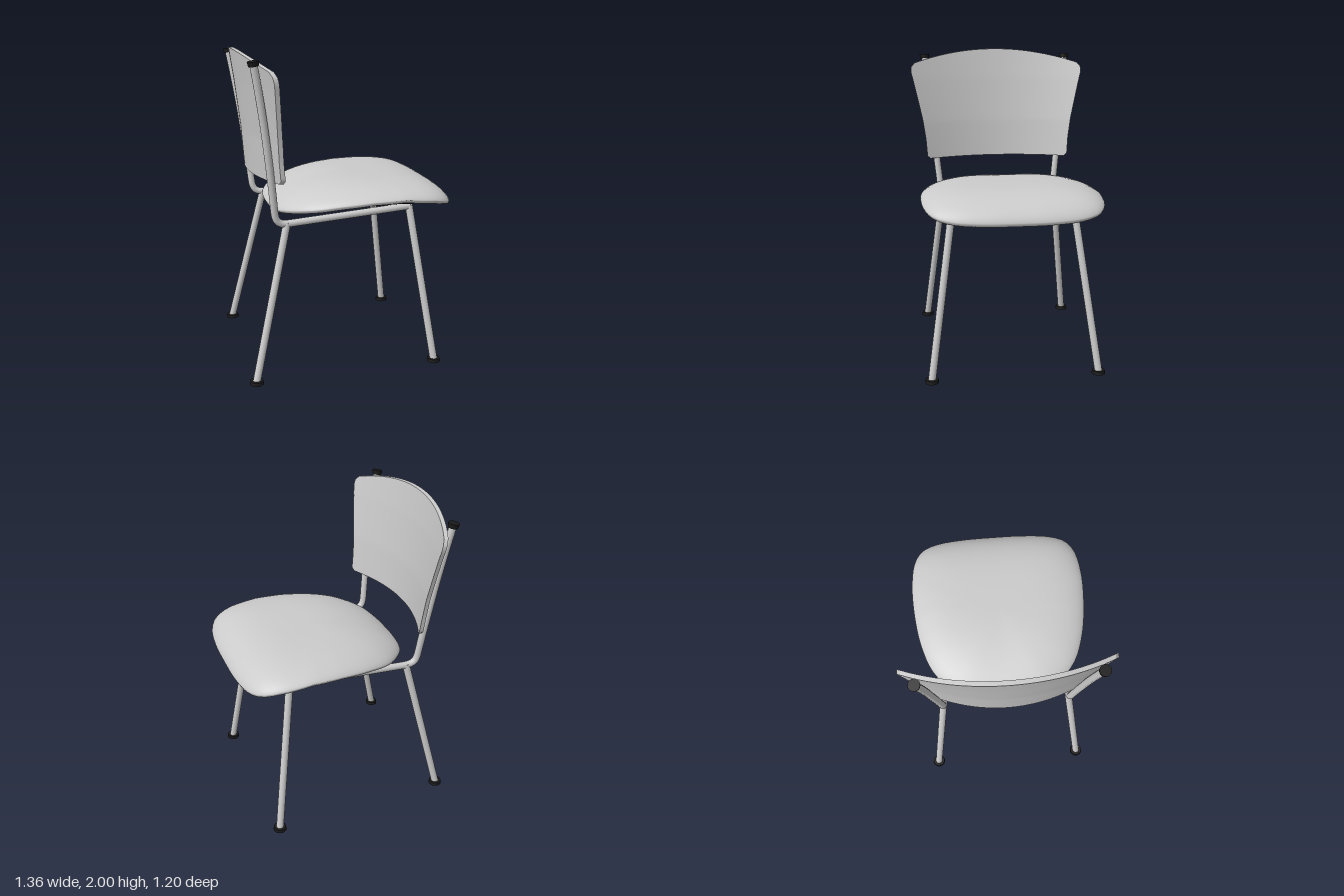
import * as THREE from 'three';

const grey = new THREE.MeshStandardMaterial({ color: 0xcccccc });
const black = new THREE.MeshStandardMaterial({ color: 0x1a1a1a });
const V = (x, y, z) => new THREE.Vector3(x, y, z);
const lerp = THREE.MathUtils.lerp;

// Linear lookup in a short list of [input, output] pairs
function lookup(table, t) {
  let i = 1;
  while (i < table.length - 1 && t > table[i][0]) i++;
  const [a, b] = [table[i - 1], table[i]];
  return lerp(a[1], b[1], THREE.MathUtils.clamp((t - a[0]) / (b[0] - a[0]), 0, 1));
}

function add(parent, name, geometry, material) {
  const mesh = new THREE.Mesh(geometry, material);
  mesh.name = name;
  parent.add(mesh);
  return mesh;
}

// Straight round bar between two points
function bar(parent, name, a, b, r0, r1, material) {
  const mesh = add(parent, name, new THREE.CylinderGeometry(r1, r0, a.distanceTo(b), 20), material);
  mesh.position.copy(a).add(b).multiplyScalar(0.5);
  mesh.quaternion.setFromUnitVectors(V(0, 1, 0), b.clone().sub(a).normalize());
}

// Closed skin through rings of points
function loft(rings) {
  const n = rings[0].length, index = [];
  for (let i = 0; i < rings.length - 1; i++) {
    for (let j = 0; j < n; j++) {
      const a = i * n + j, b = i * n + (j + 1) % n;
      index.push(a, b, a + n, b, b + n, a + n);
    }
  }
  const g = new THREE.BufferGeometry().setFromPoints(rings.flat());
  g.setIndex(index);
  g.computeVertexNormals();
  return g;
}

// Seat: domed cushion and shallow black pan sharing one plan outline
function addSeat(group) {
  const half = [[0.68, 0], [0.675, 0.22], [0.65, 0.39], [0.6, 0.49], [0.5, 0.545], [0.3, 0.568], [0.05, 0.553],
    [-0.1, 0.525], [-0.25, 0.47], [-0.35, 0.39], [-0.43, 0.28], [-0.46, 0.14], [-0.466, 0]];
  const mirrored = half.slice(1, -1).reverse().map(([x, z]) => [x, -z]);
  const outline = new THREE.CatmullRomCurve3([...half, ...mirrored].map(([x, z]) => V(x, 0, z)), true)
    .getSpacedPoints(80).slice(0, 80);
  const rim = [[-0.466, 1.02], [-0.3, 1.055], [-0.1, 1.088], [0.1, 1.108], [0.3, 1.114], [0.5, 1.09], [0.6, 1.065], [0.68, 1.035]];
  const cx = 0.11;
  const ring = (r, height) => outline.map((p) => {
    const x = lerp(cx, p.x, r);
    return V(x, height(r, lookup(rim, p.x), p, x), p.z * r);
  });
  const dome = (r, edge, p) => {
    const back = Math.max(0, (cx - p.x) / Math.hypot(p.x - cx, p.z));
    return lerp(edge, 1.197, Math.pow(Math.max(0, 1 - Math.pow(r, 4 - 2 * back)), 0.65));
  };
  const pan = (r, edge, p, x) => lerp(edge - 0.018, 1.005 + 0.04 * x, 1 - Math.pow(r / 0.95, 3));

  const cushion = [];
  for (let i = 0; i <= 28; i++) cushion.push(ring(Math.sin(i / 28 * Math.PI / 2), dome));
  cushion.push(ring(0.992, (r, edge) => edge - 0.012), ring(0.975, (r, edge) => edge - 0.018),
    ring(0.95, (r, edge) => edge - 0.018));
  add(group, 'seatCushion', loft(cushion), grey);

  const under = [];
  for (let i = 0; i <= 14; i++) under.push(ring(0.95 * (1 - i / 14), pan));
  add(group, 'seatPan', loft(under), black);
}

// Backrest: thin slab, flared upward, wrapped around the sitter and leaning back
function addBackrest(group) {
  const width = [[0, 0.48], [0.03, 0.5], [0.2, 0.508], [0.4, 0.527], [0.6, 0.555], [0.8, 0.583], [0.92, 0.601], [0.97, 0.598], [1, 0.575]];
  const spine = [[1.25, -0.571], [1.5, -0.587], [1.8, -0.62], [2, -0.647]];
  const g = new THREE.BoxGeometry(1, 1, 1, 1, 34, 32);
  const pos = g.attributes.position;
  for (let i = 0; i < pos.count; i++) {
    const v = pos.getY(i) + 0.5;
    const z = pos.getZ(i) * 2 * lookup(width, v);
    const y = lerp(1.245, 2 - 0.28 * z * z, v);
    const bend = lerp(0.5, 0.34, (y - 1.25) / 0.7);
    pos.setXYZ(i, lookup(spine, y) + bend * z * z + pos.getX(i) * 0.028, y, z);
  }
  g.computeVertexNormals();
  add(group, 'backrest', g, grey);
}

// One side of the tube frame, s = +1 or -1 along z
function addFrameSide(group, s) {
  const side = new THREE.Group();
  side.name = s > 0 ? 'rightFrame' : 'leftFrame';
  group.add(side);
  const path = new THREE.CurvePath();
  const upright = new THREE.CatmullRomCurve3([V(-0.605, 1.945, 0.5 * s), V(-0.585, 1.83, 0.49 * s), V(-0.55, 1.6, 0.468 * s),
    V(-0.52, 1.36, 0.445 * s), V(-0.502, 1.2, 0.428 * s), V(-0.487, 1.05, 0.412 * s)]);
  path.add(upright);
  path.add(new THREE.CubicBezierCurve3(V(-0.487, 1.05, 0.412 * s), V(-0.48, 0.995, 0.407 * s),
    V(-0.46, 0.975, 0.405 * s), V(-0.4, 0.978, 0.402 * s)));
  path.add(new THREE.LineCurve3(V(-0.4, 0.978, 0.402 * s), V(0.385, 1.025, 0.385 * s)));
  add(side, 'uprightAndRail', new THREE.TubeGeometry(path, 90, 0.023, 14), grey);
  bar(side, 'tubeCap', V(-0.604, 1.935, 0.5 * s), V(-0.608, 1.962, 0.502 * s), 0.03, 0.034, black);

  // Splayed legs with flared feet
  const legs = [['rearLeg', V(-0.41, 0.985, 0.402 * s), V(-0.641, 0.015, 0.52 * s)],
    ['frontLeg', V(0.38, 1.03, 0.384 * s), V(0.525, 0.015, 0.528 * s)]];
  for (const [name, top, foot] of legs) {
    bar(side, name, foot, top, 0.024, 0.024, grey);
    bar(side, name + 'Foot', V(foot.x, 0, foot.z), V(foot.x, 0.022, foot.z), 0.043, 0.04, black);
  }
}

export function createModel() {
  const group = new THREE.Group();
  group.name = 'chair';
  addSeat(group);
  addBackrest(group);
  for (const s of [1, -1]) addFrameSide(group, s);
  return group;
}
